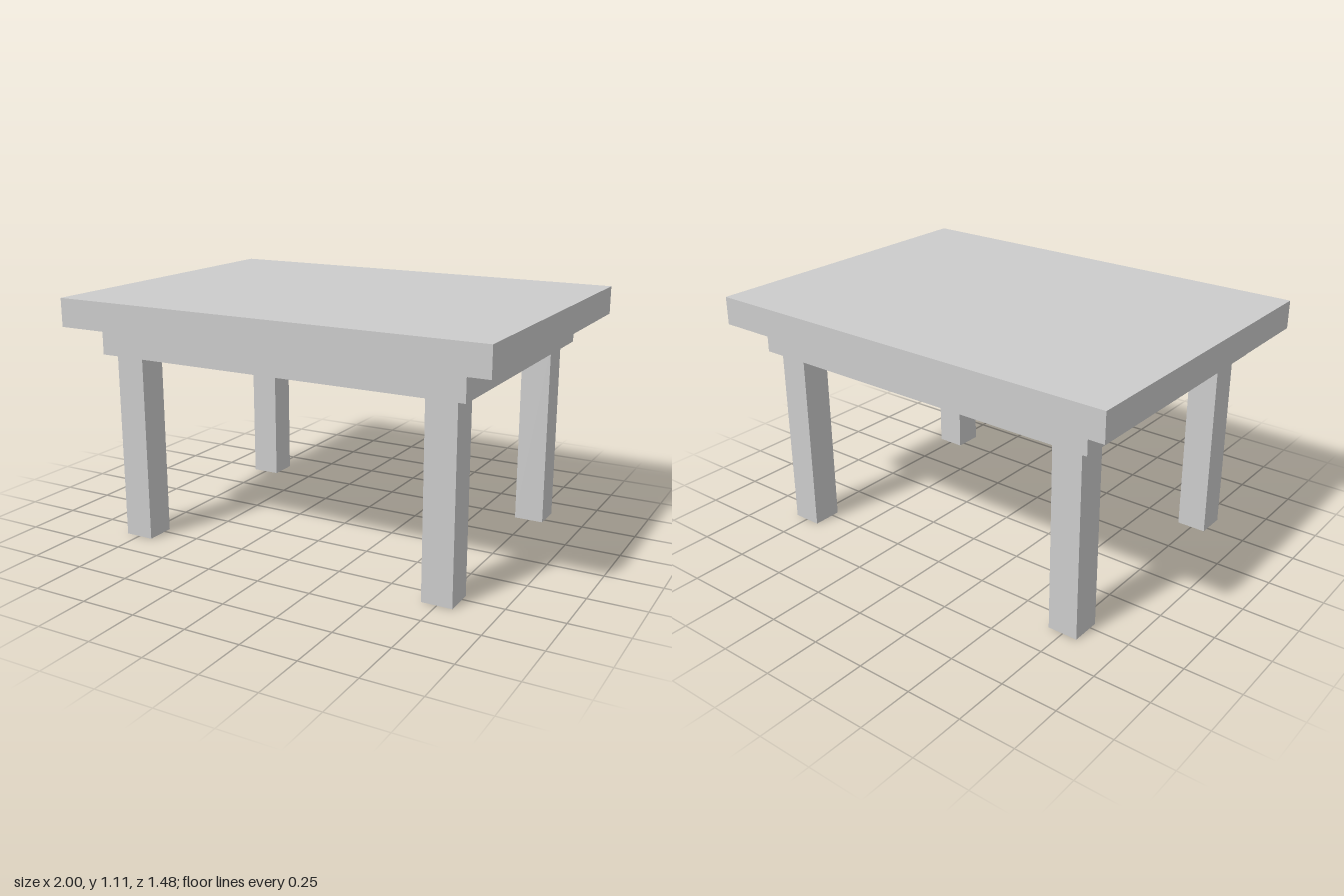
import * as THREE from 'three';

export function createModel() {
  const group = new THREE.Group();
  const material = new THREE.MeshStandardMaterial({ color: 0xcccccc, flatShading: true });

  // Box standing on height y
  function addBox(name, width, height, depth, x, y, z) {
    const mesh = new THREE.Mesh(new THREE.BoxGeometry(width, height, depth), material);
    mesh.name = name;
    mesh.position.set(x, y + height / 2, z);
    group.add(mesh);
  }

  const legHeight = 0.852, slab = 0.128;

  // Top board and the smaller slab beneath it
  addBox('tableTop', 2, slab, 1.48, 0, legHeight + slab, 0);
  addBox('apron', 1.728, slab, 1.28, 0, legHeight, 0);

  // Four square legs
  for (const [side, sx] of [['Left', 1], ['Right', -1]]) {
    for (const [end, sz] of [['front', 1], ['back', -1]]) {
      addBox(`${end}${side}Leg`, 0.136, legHeight, 0.136, sx * 0.749, 0, sz * 0.533);
    }
  }

  return group;
}
